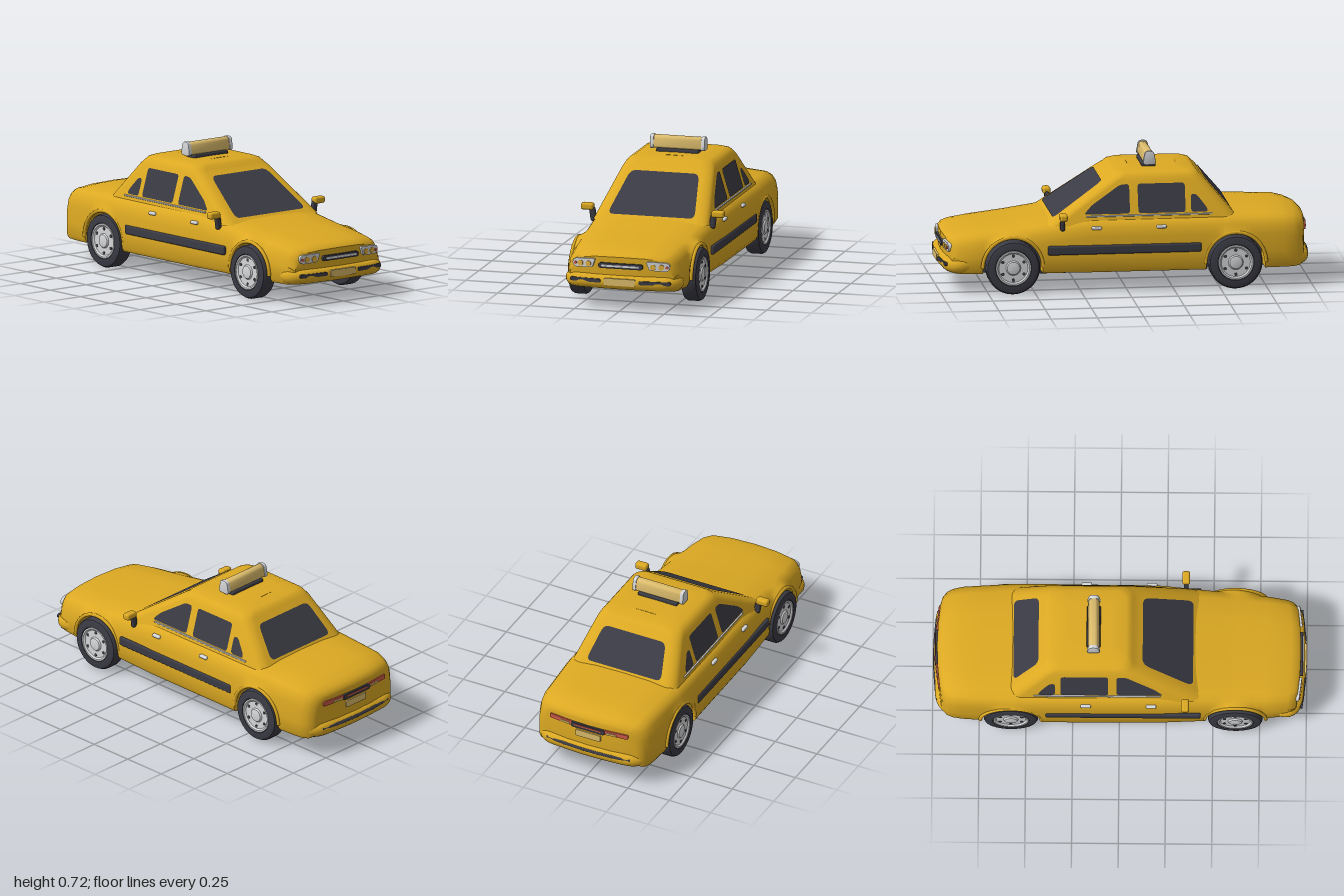
import * as THREE from 'three';
import { toCreasedNormals } from 'three/addons/utils/BufferGeometryUtils.js';
import { RoundedBoxGeometry } from 'three/addons/geometries/RoundedBoxGeometry.js';

const material = (name, color, extra = {}) => {
  const m = new THREE.MeshStandardMaterial({ color, ...extra });
  m.name = name;
  return m;
};

// Skin a list of equal-length closed rings
function loft(rings, crease) {
  const n = rings[0].length, index = [];
  for (let i = 0; i < rings.length - 1; i++) for (let j = 0; j < n; j++) {
    const a = i * n + j, b = i * n + (j + 1) % n, d = a + n, c = b + n;
    index.push(a, d, b, b, d, c);
  }
  const g = new THREE.BufferGeometry();
  g.setAttribute('position', new THREE.Float32BufferAttribute(rings.flat(2), 3));
  g.setIndex(index);
  return toCreasedNormals(g, crease);
}

// Polygon with rounded corners
function roundedShape(pts, r) {
  const v = pts.map(p => new THREE.Vector2(...p)), s = new THREE.Shape(), n = v.length;
  const toward = (p, q) => p.clone().add(q.clone().sub(p).setLength(Math.min(r, p.distanceTo(q) * 0.49)));
  v.forEach((p, i) => {
    const a = toward(p, v[(i + n - 1) % n]), b = toward(p, v[(i + 1) % n]);
    if (i === 0) s.moveTo(a.x, a.y); else s.lineTo(a.x, a.y);
    s.quadraticCurveTo(p.x, p.y, b.x, b.y);
  });
  s.closePath();
  return s;
}
const rect = (w, h) => [[-w / 2, -h / 2], [w / 2, -h / 2], [w / 2, h / 2], [-w / 2, h / 2]];

const WHEELS = [0.62, -0.58], HUB_Y = 0.145, ARCH = 0.16, BOW = 0.3;
// Body stations: z, half width, top, bottom
const STATIONS = [
  [-0.978, 0.28, 0.335, 0.14], [-0.974, 0.30, 0.35, 0.125], [-0.955, 0.322, 0.368, 0.113],
  [-0.92, 0.335, 0.382, 0.11], [-0.85, 0.343, 0.395, 0.11], [-0.55, 0.36, 0.403, 0.11],
  [0.2, 0.357, 0.402, 0.11], [0.35, 0.35, 0.382, 0.11], [0.6, 0.338, 0.347, 0.11],
  [0.8, 0.325, 0.325, 0.11], [0.92, 0.313, 0.309, 0.11], [0.955, 0.302, 0.298, 0.113], [0.97, 0.288, 0.283, 0.12],
];
function station(z) {
  let i = 0;
  while (i < STATIONS.length - 2 && z > STATIONS[i + 1][0]) i++;
  const a = STATIONS[i], b = STATIONS[i + 1], t = (z - a[0]) / (b[0] - a[0]);
  return a.map((v, k) => v + (b[k] - v) * t);
}

function bodyRing(z) {
  let [, w, yt, yb] = station(z);
  for (const c of WHEELS) { // wheel arch raises the lower edge
    const d = Math.abs(z - c);
    if (d <= ARCH) yb = Math.max(yb, HUB_Y + Math.sqrt(ARCH * ARCH - d * d));
  }
  const half = [[0, yt + 0.006], [0.45 * w, yt + 0.004], [0.8 * w, yt - 0.005], [w - 0.035, yt - 0.02],
    [w - 0.014, yt - 0.05], [w - 0.003, yt - 0.1], [w, 0.2], [w, yb + 0.02], [w - 0.012, yb],
    [0.8 * w, yb], [0.45 * w, yb], [0, yb]];
  half.forEach((p, i) => { if (i < 8) p[1] = Math.max(p[1], yb + 0.004 * (8 - i)); });
  half.forEach((p, i) => { if (i > 0 && i < 8) p[1] = Math.min(p[1], half[i - 1][1]); });
  const k = BOW * THREE.MathUtils.smoothstep(Math.abs(z), 0.8, 0.97) * Math.sign(z);
  const ring = [...half, ...half.slice(1, -1).reverse().map(([x, y]) => [-x, y])];
  return ring.map(([x, y]) => [x, y, z - k * x * x]);
}

function bodyGeometry() {
  const zs = STATIONS.map(s => s[0]);
  for (const c of WHEELS) {
    for (let i = 0; i <= 28; i++) zs.push(c - Math.cos(Math.PI * i / 28) * ARCH);
    zs.push(c - ARCH - 0.002, c + ARCH + 0.002);
  }
  const rings = zs.sort((a, b) => a - b).map(bodyRing);
  const close = ring => ring.map(([x, , z]) => [x, 0.2, z]);
  return loft([close(rings[0]), ...rings, close(rings[rings.length - 1])], 0.7);
}

// Sloping planes of the cabin
const frontZ = y => 0.39 - (y - 0.39) * 1.46;
const backZ = y => -0.58 + (y - 0.4) * 0.85;
const sideX = y => 0.31 - (y - 0.4) * 0.3;

function cabinGeometry() {
  const levels = [[0.36, 0], [0.585, 0], [0.605, 0.004], [0.62, 0.016], [0.63, 0.04], [0.634, 0.11]];
  const rings = levels.map(([y, inset]) => {
    const ring = [], r = 0.06, yy = Math.min(y, 0.605);
    const x1 = sideX(yy) - inset, z1 = frontZ(yy) - inset, z0 = backZ(yy) + inset;
    const centres = [[x1 - r, z1 - r], [-x1 + r, z1 - r], [-x1 + r, z0 + r], [x1 - r, z0 + r]];
    centres.forEach(([cx, cz], q) => {
      for (let i = 0; i <= 6; i++) {
        const a = (q + i / 6) * Math.PI / 2;
        ring.push([cx + Math.cos(a) * r, y, cz + Math.sin(a) * r]);
      }
    });
    return ring;
  });
  rings.push(rings[rings.length - 1].map(([, , z]) => [0, 0.636, z]));
  return loft(rings, 0.6);
}

export function createModel() {
  const model = new THREE.Group();
  model.name = 'taxi';
  const yellow = material('yellow paint', 0xdca922);
  const dark = material('charcoal', 0x3b3b45, { side: THREE.DoubleSide });
  const silver = material('silver', 0xd6d7d9);
  const tan = material('pale tan', 0xdcbc6c);
  const red = material('lamp red', 0xcc5a48);
  const amber = material('lamp amber', 0xe0b040);

  const add = (name, geo, mat, x = 0, y = 0, z = 0, parent = model) => {
    const m = new THREE.Mesh(geo, mat);
    m.name = name;
    m.position.set(x, y, z);
    parent.add(m);
    return m;
  };

  add('body', bodyGeometry(), yellow);
  add('cabin', cabinGeometry(), yellow);
  add('underbody', new THREE.BoxGeometry(0.5, 0.18, 1.5), dark, 0, 0.195, 0.02);
  add('floorPlate', new RoundedBoxGeometry(0.49, 0.04, 0.92, 2, 0.008), dark, 0, 0.108, 0.02);

  // Windows are flat shapes laid on the cabin planes
  const pane = (name, pts, r, place) => {
    const g = new THREE.ShapeGeometry(roundedShape(pts, r), 6), p = g.attributes.position;
    for (let i = 0; i < p.count; i++) p.setXYZ(i, ...place(p.getX(i), p.getY(i)));
    g.computeVertexNormals();
    add(name, g, dark);
  };
  pane('windshield', [[-0.243, 0.392], [0.243, 0.392], [0.19, 0.577], [-0.19, 0.577]], 0.03, (x, y) => [x, y, frontZ(y) + 0.006]);
  pane('rearWindow', [[0.225, 0.42], [-0.225, 0.42], [-0.185, 0.577], [0.185, 0.577]], 0.03, (x, y) => [x, y, backZ(y) - 0.005]);
  const sidePanes = {
    frontWindow: [[0.235, 0.418], [-0.015, 0.418], [-0.015, 0.57], [0.035, 0.567], [0.19, 0.465]],
    rearDoorWindow: [[-0.06, 0.418], [-0.315, 0.418], [-0.315, 0.57], [-0.06, 0.57]],
    quarterWindow: [[-0.345, 0.418], [-0.435, 0.418], [-0.43, 0.44], [-0.375, 0.51], [-0.345, 0.51]],
  };

  // Wheel profiles, spun about the axle
  const lathe = pts => toCreasedNormals(new THREE.LatheGeometry(pts.map(p => new THREE.Vector2(...p)), 40), 0.7);
  const tyre = lathe([[0.01, -0.045], [0.125, -0.045], [0.138, -0.04], [0.145, -0.027], [0.145, 0.027], [0.138, 0.04], [0.125, 0.045], [0.098, 0.045], [0.09, 0.03]]);
  const hub = lathe([[0.094, 0.03], [0.094, 0.044], [0.086, 0.044], [0.078, 0.036], [0.04, 0.036], [0.034, 0.044], [0.02, 0.047], [0, 0.047]]);

  for (const s of [1, -1]) {
    const side = s > 0 ? 'left' : 'right';
    for (const [name, pts] of Object.entries(sidePanes))
      pane(`${side} ${name}`, pts, 0.018, (z, y) => [s * (sideX(y) + 0.004), y, z]);

    WHEELS.forEach((z, i) => {
      const wheel = new THREE.Group();
      wheel.name = `${side} ${i ? 'rear' : 'front'} wheel`;
      wheel.position.set(s * 0.315, HUB_Y, z);
      wheel.rotation.z = -s * Math.PI / 2;
      model.add(wheel);
      add('tyre', tyre, dark, 0, 0, 0, wheel);
      add('hubcap', hub, silver, 0, 0, 0, wheel);
      for (let k = 0; k < 6; k++) {
        const a = k * Math.PI / 3;
        add('hubHole', new THREE.CylinderGeometry(0.009, 0.009, 0.008, 10), dark, Math.cos(a) * 0.066, 0.034, Math.sin(a) * 0.066, wheel);
      }
      const lip = add('archLip', new THREE.TorusGeometry(ARCH + 0.003, 0.01, 8, 32, Math.PI), yellow, s * (i ? 0.352 : 0.338), HUB_Y, z);
      lip.rotation.y = Math.PI / 2;
    });

    // Trim, handles and mirrors
    add('sideMoulding', new RoundedBoxGeometry(0.022, 0.05, 0.83, 4, 0.0105), dark, s * 0.354, 0.235, 0.02);
    add('windowTrim', new RoundedBoxGeometry(0.012, 0.008, 0.68, 2, 0.003), silver, s * 0.309, 0.407, -0.12);
    for (const z of [0.17, -0.18])
      add('doorHandle', new RoundedBoxGeometry(0.022, 0.018, 0.055, 3, 0.008), silver, s * 0.346, 0.35, z);
    const stalk = add('mirrorStalk', new RoundedBoxGeometry(0.034, 0.075, 0.025, 3, 0.01), dark, s * 0.334, 0.375, 0.352);
    stalk.rotation.z = -s * 0.15;
    add('mirror', new RoundedBoxGeometry(0.07, 0.037, 0.042, 4, 0.012), yellow, s * 0.364, 0.417, 0.352);
  }

  // Bumper and lamps for each end; the rear one is turned about
  const ends = [0, Math.PI].map((turn, i) => {
    const g = new THREE.Group();
    g.name = i ? 'rearEnd' : 'frontEnd';
    g.rotation.y = turn;
    model.add(g);
    return g;
  });
  const plate = (name, pts, r, mat, x, y, z, parent, depth = 0.02) => {
    const g = new THREE.ExtrudeGeometry(roundedShape(pts, r), { depth, bevelEnabled: false, curveSegments: 6 });
    g.translate(0, 0, -depth);
    const m = add(name, g, mat, x, y, z - BOW * x * x, parent);
    m.rotation.y = Math.atan(2 * BOW * x);
  };
  const arc = pts => new THREE.CatmullRomCurve3([...pts.map(([x, z]) => [-x, z]).reverse(), [0, 0.962], ...pts].map(([x, z]) => new THREE.Vector3(x, 0, z)));
  for (const end of ends) {
    const bumper = add('bumper', new THREE.TubeGeometry(arc([[0.14, 0.956], [0.25, 0.942], [0.288, 0.905], [0.28, 0.84]]), 48, 0.036, 16), yellow, 0, 0.152, 0, end);
    bumper.scale.y = 1.1;
  }
  const [front, rear] = ends;
  plate('frontPlate', rect(0.174, 0.038), 0.008, tan, 0, 0.158, 1, front);
  plate('grille', rect(0.246, 0.029), 0.014, dark, 0, 0.242, 0.98, front);
  plate('grilleBar', rect(0.21, 0.01), 0.005, silver, 0, 0.242, 0.984, front, 0.008);
  for (const s of [1, -1]) {
    plate('bumperStrip', rect(0.175, 0.02), 0.01, dark, s * 0.193, 0.16, 0.9995, front);
    const lamp = [[-0.066, 0.026], [-0.048, -0.022], [0.045, -0.026], [0.064, -0.015], [0.064, 0.01], [0.05, 0.022]];
    plate('headlight', lamp.map(([x, y]) => [x * s, y]), 0.012, silver, s * 0.207, 0.249, 0.981, front, 0.035);
    for (const [x, r, m] of [[0.18, 0.015, amber], [0.226, 0.015, amber], [0.255, 0.008, red]])
      plate('lamp', rect(r * 2, r * 2), r, m, s * x, 0.246, 0.986, front, 0.008);
    plate('tailLight', rect(0.14, 0.026), 0.008, red, s * 0.165, 0.303, 0.985, rear, 0.025);
    plate('reverseLight', rect(0.06, 0.011), 0.004, tan, s * 0.14, 0.299, 0.989, rear, 0.008);
  }
  plate('tailPanel', rect(0.2, 0.03), 0.01, dark, 0, 0.3, 0.987, rear);
  plate('tailBar', rect(0.16, 0.008), 0.004, red, 0, 0.303, 0.99, rear, 0.006);
  plate('rearPlate', rect(0.15, 0.038), 0.008, tan, 0, 0.252, 0.984, rear);
  const strip = arc([[0.1, 0.959], [0.2, 0.95], [0.25, 0.942]]);
  add('rearBumperStrip', new THREE.TubeGeometry(strip, 24, 0.011, 10), dark, 0, 0.162, 0.027, rear);

  // Roof sign
  add('signBase', new RoundedBoxGeometry(0.235, 0.024, 0.075, 3, 0.008), dark, 0, 0.64, -0.14);
  const signPart = (name, grow, width, x, mat) => {
    const pts = [[-0.034 - grow, 0.65 - grow], [0.034 + grow, 0.65 - grow], [0.021 + grow, 0.719 + grow], [-0.021 - grow, 0.719 + grow]];
    const g = new THREE.ExtrudeGeometry(roundedShape(pts, 0.02), { depth: width - 0.008, bevelThickness: 0.004, bevelSize: 0.004, bevelOffset: -0.004, bevelSegments: 2, curveSegments: 6 });
    g.translate(0, 0, -(width - 0.008) / 2);
    add(name, toCreasedNormals(g, 0.6), mat, x, 0, -0.14).rotation.y = Math.PI / 2;
  };
  signPart('signPanel', 0, 0.275, 0, tan);
  for (const s of [1, -1]) signPart('signCap', 0.003, 0.021, s * 0.142, silver);
  return model;
}
